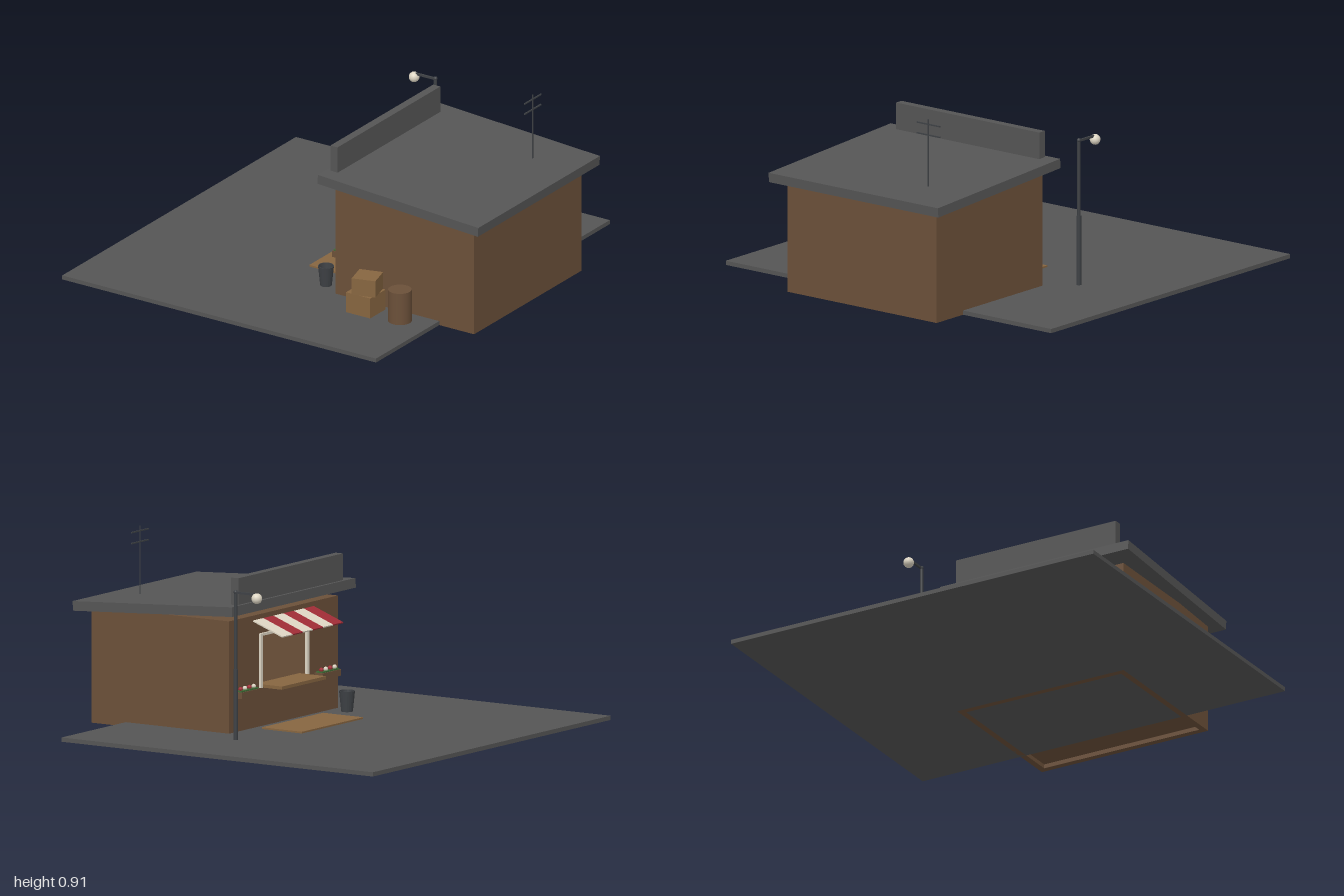
import * as THREE from 'three';

export function createModel() {
  const model = new THREE.Group();
  const paint = (name, color) => {
    const m = new THREE.MeshStandardMaterial({ color });
    m.name = name;
    return m;
  };
  const grey = paint('slate grey', 0x555555);
  const brown = paint('wall brown', 0x6b5039);
  const wood = paint('light wood', 0x866540);
  const red = paint('awning red', 0xa02c36);
  const cream = paint('cream', 0xded6c4);
  const metal = paint('dark metal', 0x3e4145);
  const leaf = paint('leaf green', 0x3f6b35);

  const add = (name, geometry, material, x, y, z, parent = model) => {
    const mesh = new THREE.Mesh(geometry, material);
    mesh.name = name;
    mesh.position.set(x, y, z);
    parent.add(mesh);
    return mesh;
  };
  // Box given by its lower and upper limits
  const box = (name, material, x0, x1, y0, y1, z0, z1, parent) =>
    add(name, new THREE.BoxGeometry(x1 - x0, y1 - y0, z1 - z0), material,
      (x0 + x1) / 2, (y0 + y1) / 2, (z0 + z1) / 2, parent);
  const rod = (name, r0, r1, h, material, x, y, z, parent, sides = 12) =>
    add(name, new THREE.CylinderGeometry(r1, r0, h, sides), material, x, y + h / 2, z, parent);

  box('ground', grey, -1, 0.742, 0, 0.02, -0.97, 0.97);
  box('doormat', wood, -0.11, 0.115, 0.02, 0.028, -0.25, 0.25);

  // Hollow shop with a serving hatch in the wall facing -x
  const shop = new THREE.Group();
  shop.name = 'shop';
  model.add(shop);
  const t = 0.03;
  box('backWall', brown, 0.935 - t, 0.935, 0, 0.545, -0.445, 0.445, shop);
  for (const s of [-1, 1]) {
    const a = s * 0.445, b = s * (0.445 - t);
    box('sideWall', brown, 0.165, 0.935 - t, 0, 0.545, Math.min(a, b), Math.max(a, b), shop);
  }
  box('floor', brown, 0.165 + t, 0.935 - t, 0.02, 0.035, -0.415, 0.415, shop);
  box('ceiling', brown, 0.165 + t, 0.935 - t, 0.53, 0.545, -0.415, 0.415, shop);
  const front = new THREE.Shape();
  front.moveTo(-0.415, 0).lineTo(0.415, 0).lineTo(0.415, 0.545).lineTo(-0.415, 0.545).closePath();
  const hatch = new THREE.Path();
  hatch.moveTo(-0.19, 0.2).lineTo(-0.19, 0.455).lineTo(0.19, 0.455).lineTo(0.19, 0.2).closePath();
  front.holes.push(hatch);
  const wall = add('hatchWall',
    new THREE.ExtrudeGeometry(front, { depth: t, bevelEnabled: false }), brown, 0.165, 0, 0, shop);
  wall.rotation.y = Math.PI / 2;

  // Hatch trim and counter
  for (const s of [-1, 1])
    box('hatchPost', cream, 0.155, 0.168, 0.2, 0.455, s * 0.19 - 0.008, s * 0.19 + 0.008, shop);
  box('hatchLintel', cream, 0.155, 0.168, 0.443, 0.455, -0.182, 0.182, shop);
  box('counter', wood, 0.05, 0.2, 0.2, 0.215, -0.18, 0.18, shop);

  // Flower boxes either side of the hatch
  for (const s of [-1, 1]) {
    box('flowerBox', brown, 0.12, 0.165, 0.18, 0.21, s * 0.33 - 0.075, s * 0.33 + 0.075, shop);
    box('flowerLeaves', leaf, 0.125, 0.16, 0.21, 0.216, s * 0.33 - 0.07, s * 0.33 + 0.07, shop);
    for (let i = 0; i < 4; i++)
      add('flower', new THREE.SphereGeometry(0.011, 8, 6), i % 2 ? cream : red,
        0.142, 0.222, s * 0.33 + (i - 1.5) * 0.036, shop);
  }

  // Sloping roof with a raised board along its edge
  const roof = add('roof', new THREE.BoxGeometry(0.892, 0.045, 1.01), grey, 0.552, 0.575, 0);
  roof.rotation.z = -0.06;
  box('roofBoard', grey, 0.125, 0.165, 0.6, 0.748, -0.427, 0.427);

  // Striped awning
  const awning = new THREE.Group();
  awning.name = 'awning';
  awning.position.set(0.083, 0.49, 0);
  awning.rotation.z = Math.atan2(0.06, 0.165);
  model.add(awning);
  const stripe = 0.495 / 6;
  for (let i = 0; i < 6; i++)
    add('awningStripe', new THREE.BoxGeometry(0.176, 0.006, stripe), i % 2 ? red : cream,
      0, 0, (i - 2.5) * stripe, awning);

  // Roof aerial
  rod('aerialMast', 0.003, 0.003, 0.32, metal, 0.782, 0.592, -0.27, model, 6);
  for (const y of [0.837, 0.888])
    box('aerialBar', metal, 0.779, 0.785, y - 0.003, y + 0.003, -0.34, -0.202);

  // Street lamp
  const lamp = new THREE.Group();
  lamp.name = 'streetLamp';
  lamp.position.set(0.045, 0, -0.565);
  model.add(lamp);
  rod('lampBase', 0.011, 0.011, 0.33, metal, 0, 0.02, 0, lamp);
  rod('lampPole', 0.008, 0.008, 0.365, metal, 0, 0.35, 0, lamp);
  add('lampJoint', new THREE.SphereGeometry(0.01, 12, 8), metal, 0, 0.71, 0, lamp);
  box('lampArm', metal, -0.115, 0, 0.703, 0.713, -0.005, 0.005, lamp);
  add('lampGlobe', new THREE.SphereGeometry(0.025, 16, 12), cream, -0.118, 0.69, 0, lamp);

  // Open bin
  const bin = [[0, 0], [0.027, 0], [0.037, 0.097], [0.033, 0.097], [0.025, 0.01], [0, 0.01]];
  add('bin', new THREE.LatheGeometry(bin.map(p => new THREE.Vector2(...p)), 20).toNonIndexed(),
    metal, 0.073, 0.02, 0.385).geometry.computeVertexNormals();

  // Barrel and stacked crates against the side wall
  rod('barrel', 0.055, 0.055, 0.157, brown, 0.587, 0.02, 0.54, model, 24);
  box('lowerCrate', wood, 0.326, 0.46, 0.02, 0.12, 0.47, 0.597);
  const crate = add('upperCrate', new THREE.BoxGeometry(0.115, 0.082, 0.115), wood, 0.403, 0.161, 0.535);
  crate.rotation.y = 0.27;

  return model;
}
